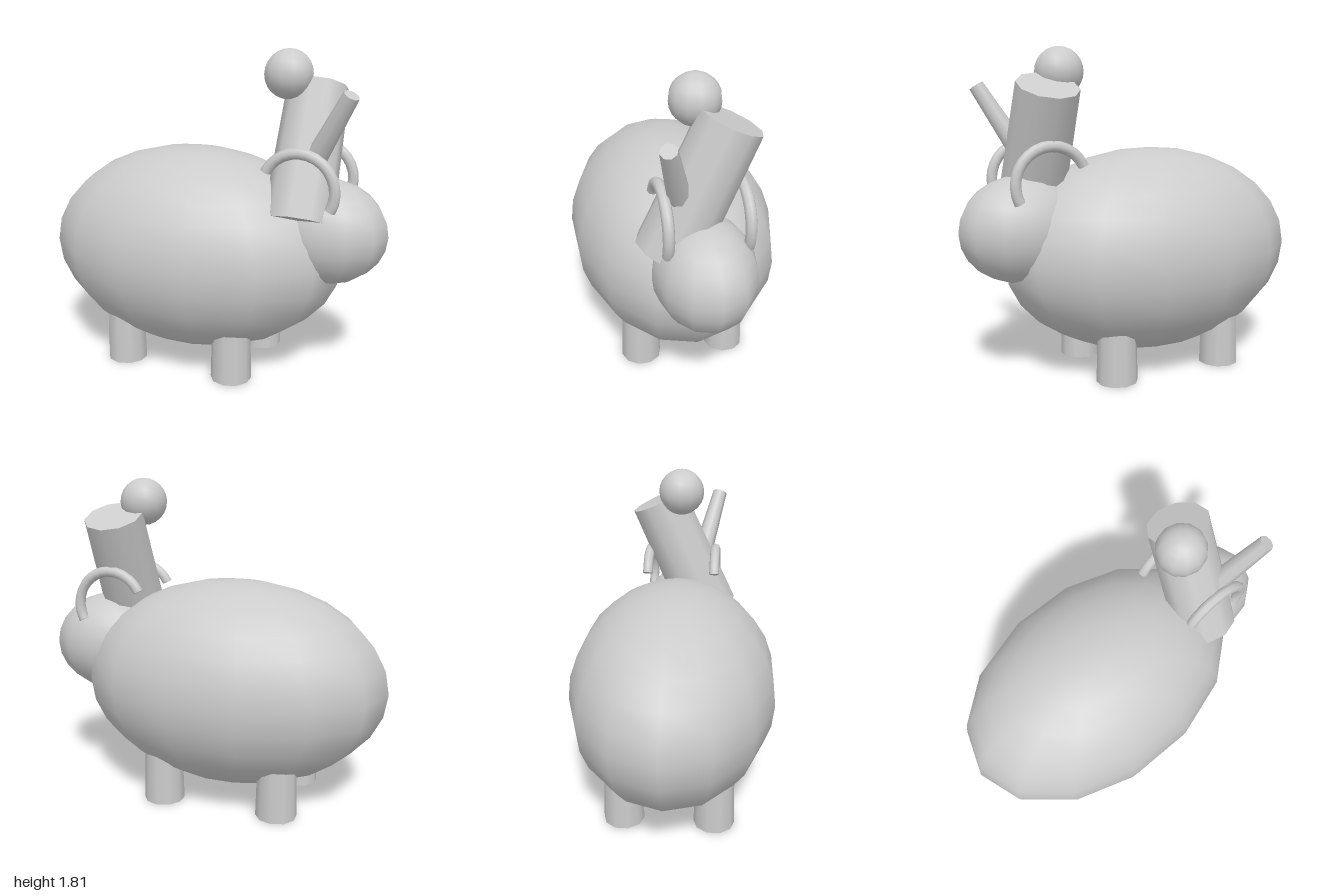
import * as THREE from 'three';

const grey = new THREE.MeshStandardMaterial({ color: 0xcccccc });
const greyOpen = new THREE.MeshStandardMaterial({ color: 0xcccccc, side: THREE.DoubleSide });

export function createModel() {
  const group = new THREE.Group();

  const add = (name, geometry, position, material = grey) => {
    const mesh = new THREE.Mesh(geometry, material);
    mesh.name = name;
    mesh.position.set(...position);
    group.add(mesh);
    return mesh;
  };

  // Cylinder running between two points
  const rod = (name, from, to, rFrom, rTo, sides) => {
    const a = new THREE.Vector3(...from);
    const b = new THREE.Vector3(...to);
    const dir = b.clone().sub(a);
    const mesh = add(
      name,
      new THREE.CylinderGeometry(rTo, rFrom, dir.length(), sides),
      a.clone().add(b).multiplyScalar(0.5).toArray()
    );
    mesh.quaternion.setFromUnitVectors(new THREE.Vector3(0, 1, 0), dir.normalize());
    return mesh;
  };

  // Egg-shaped body and the head at its +x end
  add('body', new THREE.SphereGeometry(1, 14, 14), [-0.12, 0.675, 0]).scale.set(0.88, 0.585, 0.585);
  add('head', new THREE.SphereGeometry(1, 12, 12), [0.66, 0.845, 0]).scale.set(0.34, 0.29, 0.27);

  // Four stubby legs
  for (const x of [-0.455, 0.215]) {
    for (const z of [-0.255, 0.255]) {
      rod('leg', [x, 0, z], [x, 0.36, z], 0.115, 0.105, 10);
    }
  }

  // Leaning hat with a bobble and a stick at its side
  rod('hat', [0.55, 0.92, 0.16], [0.55, 1.605, -0.15], 0.185, 0.168, 10);
  add('bobble', new THREE.SphereGeometry(0.133, 12, 12), [0.43, 1.68, 0]);
  rod('stick', [0.61, 1.235, 0.115], [0.82, 1.605, 0.218], 0.06, 0.043, 8);

  // Curved horns, one on each side
  for (const side of [-1, 1]) {
    const horn = add('horn', new THREE.TorusGeometry(0.197, 0.03, 8, 14, Math.PI), [0.557, 1.1, side * 0.203], greyOpen);
    horn.rotation.z = -0.47;
    // Flat ends of the horn
    for (const end of [-1, 1]) {
      const cap = new THREE.Mesh(new THREE.CircleGeometry(0.03, 8), greyOpen);
      cap.name = 'hornEnd';
      cap.position.x = end * 0.197;
      cap.rotation.x = Math.PI / 2;
      horn.add(cap);
    }
  }

  return group;
}
